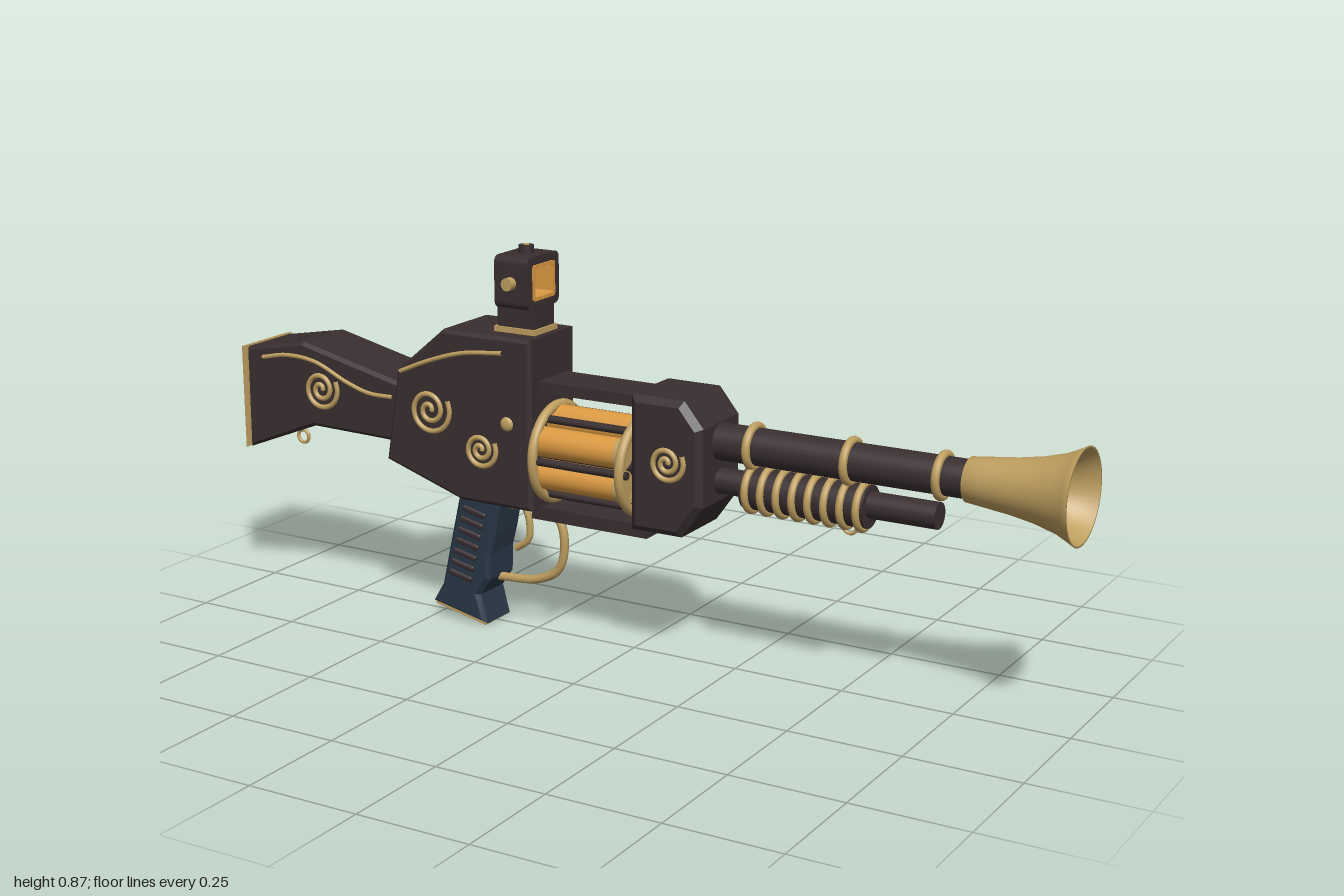
import * as THREE from 'three';
import { RoundedBoxGeometry } from 'three/addons/geometries/RoundedBoxGeometry.js';

const mat = (name, color, side = THREE.FrontSide) => {
  const m = new THREE.MeshStandardMaterial({ color, side });
  m.name = name;
  return m;
};

export function createModel() {
  const model = new THREE.Group();
  const dark = mat('dark walnut', 0x392e30);
  const gold = mat('brass', 0xbf9f60, THREE.DoubleSide);
  const amber = mat('amber', 0xdc9a42);
  const blue = mat('slate blue', 0x2a3848);

  const add = (name, geo, material, x = 0, y = 0, z = 0) => {
    const mesh = new THREE.Mesh(geo, material);
    mesh.name = name;
    mesh.position.set(x, y, z);
    model.add(mesh);
    return mesh;
  };
  const box = (name, m, x0, x1, y0, y1, halfZ) =>
    add(name, new THREE.BoxGeometry(x1 - x0, y1 - y0, halfZ * 2), m, (x0 + x1) / 2, (y0 + y1) / 2);
  // cylinder lying along x
  const rod = (name, m, x0, x1, y, z, r, seg = 24) =>
    add(name, new THREE.CylinderGeometry(r, r, x1 - x0, seg).rotateZ(-Math.PI / 2), m, (x0 + x1) / 2, y, z);
  // ring around the x axis
  const ring = (name, x, y, r, tube, m = gold) =>
    add(name, new THREE.TorusGeometry(r, tube, 10, 40).rotateY(Math.PI / 2), m, x, y);
  const tube = (name, pts, r, z = 0, seg = 40) => {
    const curve = new THREE.CatmullRomCurve3(pts.map(([x, y]) => new THREE.Vector3(x, y, z)));
    return add(name, new THREE.TubeGeometry(curve, seg, r, 8), gold);
  };
  // side profile extruded across z with chamfered edges
  const slab = (name, m, pts, halfZ, bevel) => {
    const shape = new THREE.Shape(pts.map(p => new THREE.Vector2(...p)));
    const geo = new THREE.ExtrudeGeometry(shape, {
      depth: 2 * (halfZ - bevel), bevelEnabled: bevel > 0, bevelThickness: bevel,
      bevelSize: bevel, bevelOffset: -bevel, bevelSegments: 1
    });
    return add(name, geo.translate(0, 0, bevel - halfZ), m);
  };

  // stock and butt plate
  slab('stock', dark, [[-0.99, 0.335], [-0.8, 0.41], [-0.55, 0.405], [-0.55, 0.54],
    [-0.825, 0.603], [-0.99, 0.573]], 0.08, 0.008);
  slab('buttPlate', gold, [[-1, 0.333], [-0.985, 0.34], [-0.985, 0.577], [-1, 0.574]], 0.081, 0);

  // receiver and front block
  slab('receiver', dark, [[-0.59, 0.365], [-0.39, 0.3], [-0.205, 0.3], [-0.205, 0.68],
    [-0.43, 0.68], [-0.555, 0.575]], 0.09, 0.008);
  slab('frontBlock', dark, [[0.04, 0.3], [0.16, 0.3], [0.21, 0.37], [0.21, 0.54],
    [0.165, 0.595], [0.04, 0.595]], 0.09, 0.014);
  box('topRail', dark, -0.21, 0.05, 0.56, 0.585, 0.055);
  box('bottomRail', dark, -0.23, 0.06, 0.273, 0.302, 0.05);

  // revolving drum with cartridges and dark rods between them
  const drumY = 0.42;
  rod('drumAxle', dark, -0.21, 0.05, drumY, 0, 0.03);
  for (let i = 0; i < 6; i++) {
    const a = i * Math.PI / 3 + Math.PI / 6, b = i * Math.PI / 3;
    const cy = drumY + Math.sin(a) * 0.072, cz = Math.cos(a) * 0.072;
    rod('cartridge', amber, -0.2, 0.01, cy, cz, 0.033);
    rod('cartridgeRim', gold, 0.002, 0.014, cy, cz, 0.035);
    rod('drumRod', dark, -0.2, 0.04, drumY + Math.sin(b) * 0.096, Math.cos(b) * 0.096, 0.009, 12);
  }
  for (const x of [-0.192, 0.024]) ring('drumRing', x, drumY, 0.104, 0.011);

  // barrel, lower tube and coil
  rod('barrel', dark, 0.2, 0.86, 0.498, 0, 0.04, 32);
  for (const x of [0.29, 0.51, 0.71]) ring('barrelRing', x, 0.498, 0.043, 0.009);
  rod('lowerTube', dark, 0.2, 0.705, 0.413, 0, 0.028);
  rod('coilSleeve', dark, 0.275, 0.555, 0.408, 0, 0.045);
  for (let i = 0; i < 8; i++) ring('coilRing', 0.29 + i * 0.036, 0.408, 0.047, 0.008);

  // flared muzzle
  const flare = [[0.04, 0.765], [0.046, 0.765], [0.05, 0.8], [0.057, 0.86], [0.066, 0.91],
    [0.08, 0.96], [0.092, 0.985], [0.1, 1], [0.095, 1], [0.076, 0.965], [0.058, 0.92], [0.046, 0.875], [0.04, 0.85]];
  add('muzzle', new THREE.LatheGeometry(flare.map(p => new THREE.Vector2(...p)), 48)
    .rotateZ(-Math.PI / 2), gold, 0, 0.498);

  // sling loops
  for (const [x, y] of [[-0.895, 0.355], [0.51, 0.36]])
    add('slingLoop', new THREE.TorusGeometry(0.015, 0.004, 8, 20), gold, x, y);

  // grip with base plate and side ridges
  slab('grip', blue, [[-0.5, 0.035], [-0.355, 0.004], [-0.372, 0.07], [-0.345, 0.11], [-0.343, 0.17],
    [-0.33, 0.22], [-0.312, 0.31], [-0.42, 0.31], [-0.455, 0.16], [-0.473, 0.08]], 0.054, 0.01);
  slab('gripBase', gold, [[-0.494, 0.029], [-0.36, 0], [-0.359, 0.008], [-0.493, 0.037]], 0.046, 0);
  for (let i = 0; i < 7; i++) {
    const t = i / 6;
    const ridge = add('gripRidge', new RoundedBoxGeometry(0.062, 0.014, 0.118, 2, 0.005), dark,
      -0.38 - 0.04 * t, 0.265 - 0.155 * t);
    ridge.rotation.z = -0.22;
  }

  // trigger and guard
  tube('triggerGuard', [[-0.32, 0.278], [-0.23, 0.28], [-0.19, 0.26], [-0.178, 0.2], [-0.195, 0.145],
    [-0.25, 0.115], [-0.35, 0.105]], 0.01);
  tube('trigger', [[-0.285, 0.29], [-0.27, 0.25], [-0.272, 0.205], [-0.305, 0.178]], 0.008);

  // sight: pedestal, hollow head, amber window frame and knobs
  box('sightBase', gold, -0.325, -0.22, 0.675, 0.692, 0.045);
  box('sightPedestal', dark, -0.318, -0.225, 0.68, 0.75, 0.04);
  const roundRect = (path, w, h, r) => path
    .moveTo(-w + r, -h).lineTo(w - r, -h).quadraticCurveTo(w, -h, w, -h + r)
    .lineTo(w, h - r).quadraticCurveTo(w, h, w - r, h)
    .lineTo(-w + r, h).quadraticCurveTo(-w, h, -w, h - r)
    .lineTo(-w, -h + r).quadraticCurveTo(-w, -h, -w + r, -h);
  const frame = (name, m, w, h, r, iw, ih, ir, depth) => {
    const shape = new THREE.Shape(), hole = new THREE.Path();
    roundRect(shape, w, h, r);
    roundRect(hole, iw, ih, ir);
    shape.holes.push(hole);
    const geo = new THREE.ExtrudeGeometry(shape, { depth, bevelEnabled: false });
    add(name, geo.translate(0, 0, -depth / 2).rotateY(Math.PI / 2), m, -0.268, 0.793);
  };
  frame('sightHead', dark, 0.0625, 0.057, 0.018, 0.042, 0.038, 0.008, 0.084);
  frame('sightFrame', amber, 0.043, 0.039, 0.008, 0.035, 0.031, 0.004, 0.09);
  add('sightKnob', new THREE.CylinderGeometry(0.014, 0.014, 0.022, 16).rotateX(Math.PI / 2), gold, -0.268, 0.793, 0.069);
  add('sightDial', new THREE.CylinderGeometry(0.017, 0.017, 0.018, 16), dark, -0.268, 0.858);
  add('sightDialCap', new THREE.CylinderGeometry(0.007, 0.007, 0.02, 12), gold, -0.268, 0.859);

  // brass inlay on both sides
  const spiral = (cx, cy, r) => Array.from({ length: 29 }, (_, i) => {
    const a = 0.5 - i / 28 * Math.PI * 4.2, s = r * (1 - 0.9 * i / 28);
    return [cx + Math.cos(a) * s, cy + Math.sin(a) * s];
  });
  for (const s of [1, -1]) {
    tube('receiverSwirl', spiral(-0.468, 0.495, 0.055), 0.006, s * 0.09, 90);
    tube('receiverSwirl', spiral(-0.335, 0.423, 0.042), 0.006, s * 0.09, 90);
    tube('blockSwirl', spiral(0.13, 0.46, 0.042), 0.006, s * 0.09, 90);
    tube('stockSwirl', spiral(-0.775, 0.5, 0.048), 0.006, s * 0.08, 90);
    tube('receiverLine', [[-0.545, 0.573], [-0.47, 0.605], [-0.38, 0.633], [-0.275, 0.645]], 0.005, s * 0.09);
    tube('stockLine', [[-0.94, 0.555], [-0.87, 0.568], [-0.79, 0.562], [-0.7, 0.525], [-0.64, 0.508],
      [-0.575, 0.507]], 0.005, s * 0.08);
    add('receiverStud', new THREE.SphereGeometry(0.016, 16, 10).scale(1, 1, 0.5), gold, -0.265, 0.49, s * 0.09);
  }

  // bolt handle on the back side
  add('boltHandle', new THREE.CapsuleGeometry(0.015, 0.11, 6, 16).rotateZ(Math.PI / 2), gold, -0.36, 0.6, -0.099);

  return model;
}
